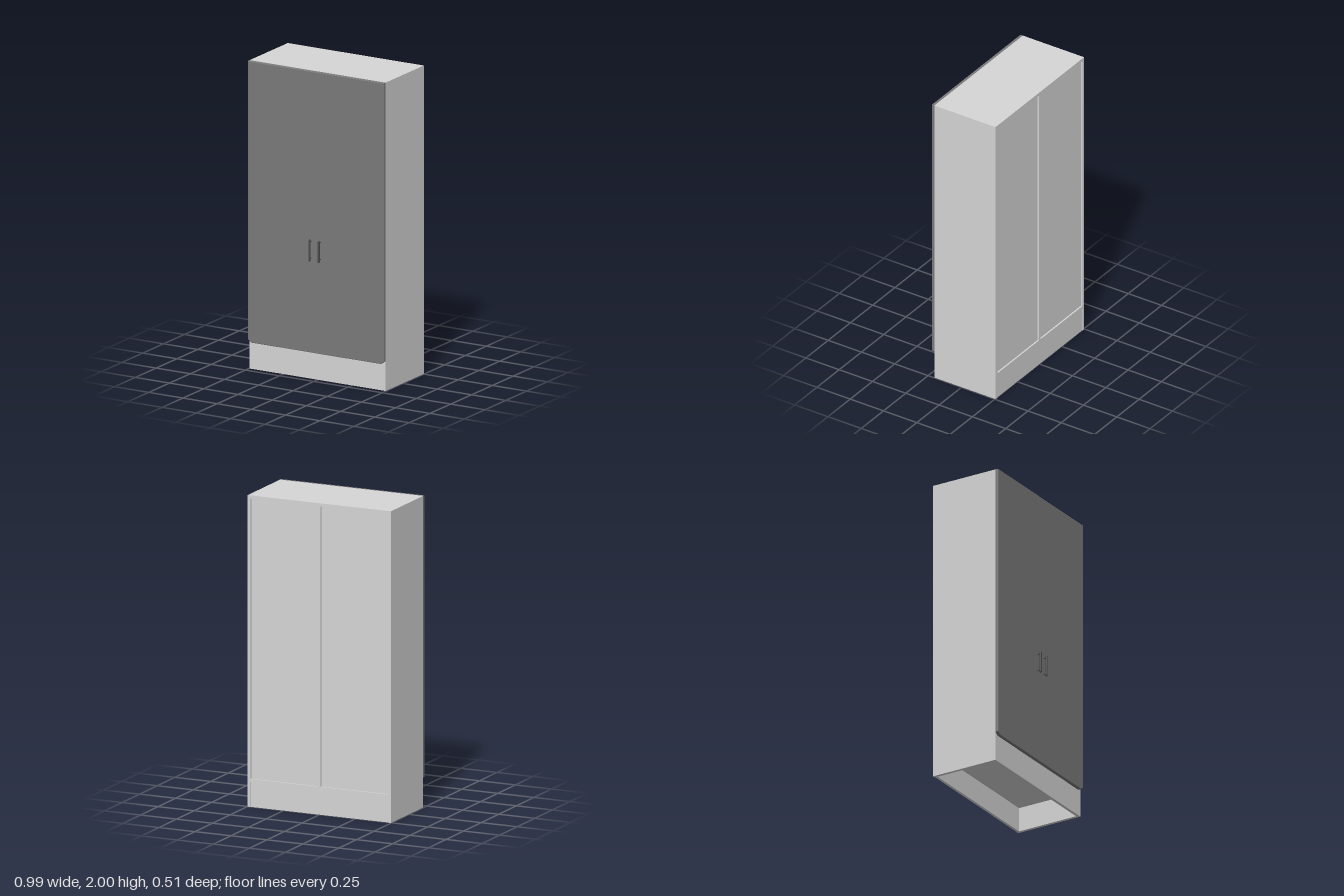
import * as THREE from 'three';

export function createModel() {
  const root = new THREE.Group();
  root.name = 'wardrobe';

  const carcassPaint = new THREE.MeshStandardMaterial({ name: 'light carcass', color: 0xd6d6d6 });
  const doorPaint = new THREE.MeshStandardMaterial({ name: 'grey door', color: 0x7a7a7a });
  const handleMetal = new THREE.MeshStandardMaterial({ name: 'dark handle', color: 0x4c4c4c });

  // Box given by its minimum and maximum corners
  const board = (name, [x0, y0, z0], [x1, y1, z1], material = carcassPaint) => {
    const mesh = new THREE.Mesh(new THREE.BoxGeometry(x1 - x0, y1 - y0, z1 - z0), material);
    mesh.position.set((x0 + x1) / 2, (y0 + y1) / 2, (z0 + z1) / 2);
    mesh.name = name;
    root.add(mesh);
    return mesh;
  };

  const W = 0.497, T = 0.02, BACK = -0.255, FRONT = 0.205;
  const IN = W - T;

  // Carcass: sides, top, floor and central divider
  board('leftSide', [IN, 0, BACK], [W, 2, FRONT]);
  board('rightSide', [-W, 0, BACK], [-IN, 2, FRONT]);
  board('topPanel', [-IN, 2 - T, BACK], [IN, 2, FRONT]);
  board('floorPanel', [-IN, 0.16, BACK], [IN, 0.18, FRONT]);
  board('divider', [-T / 2, 0.18, BACK], [T / 2, 2 - T, FRONT]);

  // Hollow plinth, open underneath
  board('plinthFront', [-IN, 0, FRONT - T], [IN, 0.16, FRONT]);
  board('plinthBack', [-IN, 0, BACK + 0.003], [IN, 0.16, BACK + T]);

  // Outer half-width door with a clipped lower outside corner and softened front edge
  const B = 0.004;
  const doorShape = new THREE.Shape([
    [0, 0.175], [0.472, 0.175], [W, 0.192], [W, 2], [0, 2],
  ].map(([x, y]) => new THREE.Vector2(x, y)));
  const doorGeometry = new THREE.ExtrudeGeometry(doorShape, {
    depth: 0.016, bevelEnabled: true, bevelThickness: B, bevelSize: B, bevelOffset: -B, bevelSegments: 2,
  });
  // Keep the meeting edge and back square so that the doors close flush
  const p = doorGeometry.attributes.position;
  for (let i = 0; i < p.count; i++) {
    if (p.getX(i) < B + 0.001) p.setX(i, 0);
    if (p.getZ(i) < 0) p.setZ(i, 0);
  }
  doorGeometry.computeVertexNormals();

  // The right door is the same slab reflected, with its triangles reversed
  const mirroredDoor = doorGeometry.clone();
  const q = mirroredDoor.attributes.position;
  for (let i = 0; i < q.count; i += 3) {
    const corners = [0, 2, 1].map(k => [-p.getX(i + k), p.getY(i + k), p.getZ(i + k)]);
    corners.forEach((c, k) => q.setXYZ(i + k, ...c));
  }
  mirroredDoor.computeVertexNormals();

  for (const [name, geometry] of [['leftDoor', doorGeometry], ['rightDoor', mirroredDoor]]) {
    const door = new THREE.Mesh(geometry, doorPaint);
    door.name = name;
    door.position.z = FRONT;
    root.add(door);
  }

  for (const side of [-1, 1]) {
    const label = side > 0 ? 'left' : 'right';

    // Inset back panel on each side of the divider
    const xs = [side * T / 2, side * IN].sort((a, b) => a - b);
    board(label + 'BackPanel', [xs[0], 0.18, BACK + 0.01], [xs[1], 2 - T, BACK + 0.018]);

    // Slim bar handle on two thin posts
    const handle = new THREE.Group();
    handle.name = label + 'Handle';
    handle.position.set(side * 0.034, 0.845, 0);
    const bar = new THREE.Mesh(new THREE.CapsuleGeometry(0.007, 0.13, 4, 12), handleMetal);
    bar.name = 'handleBar';
    bar.position.z = 0.247;
    handle.add(bar);
    for (const y of [-0.055, 0.055]) {
      const post = new THREE.Mesh(new THREE.CylinderGeometry(0.004, 0.003, 0.024, 10), handleMetal);
      post.name = 'handlePost';
      post.rotation.x = Math.PI / 2;
      post.position.set(0, y, 0.235);
      handle.add(post);
    }
    root.add(handle);
  }

  return root;
}
